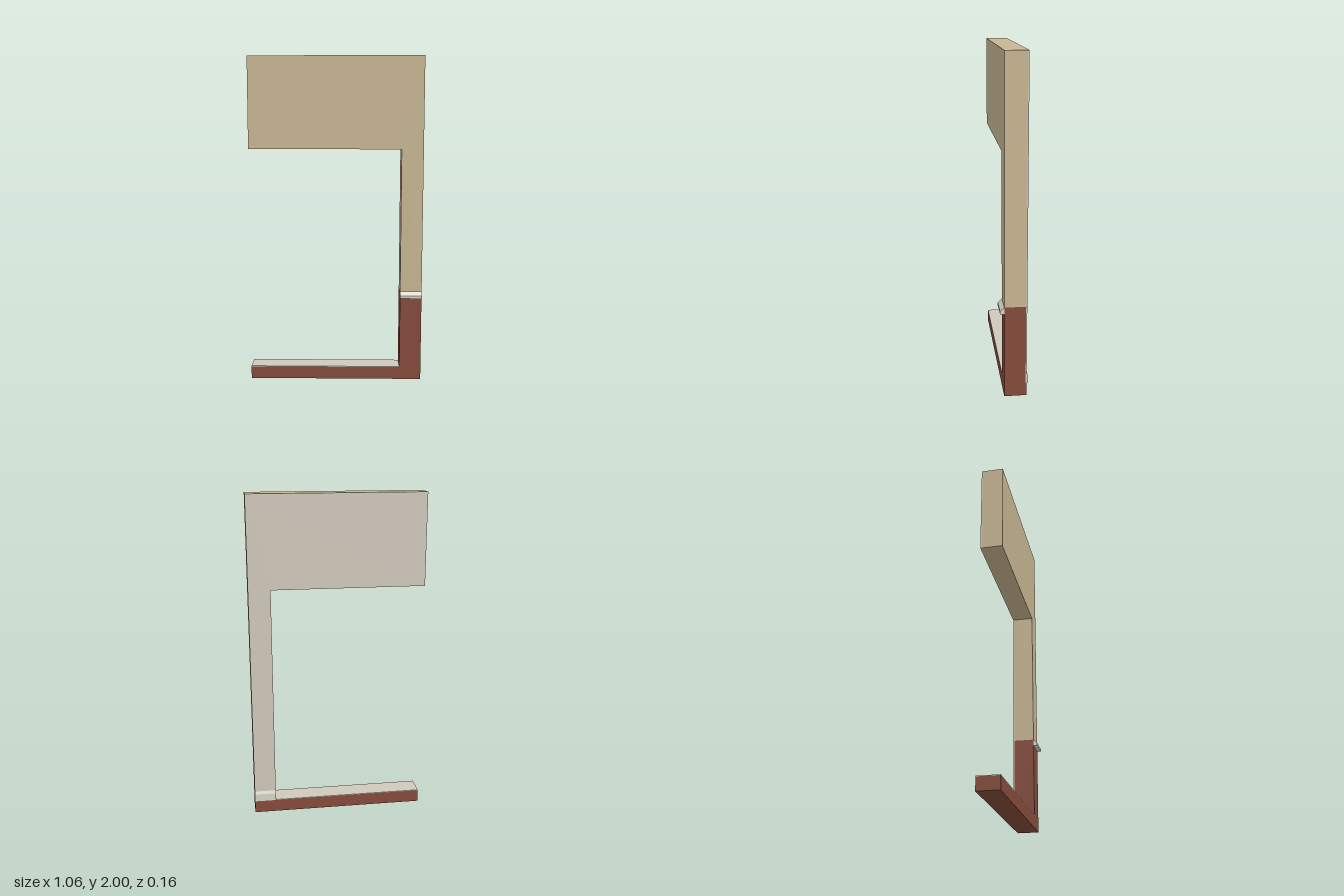
import * as THREE from 'three';

const material = (name, color) => new THREE.MeshStandardMaterial({ name, color });

export function createModel() {
  const group = new THREE.Group();
  const siding = material('tan siding', 0xc8b692);
  const brick = material('red brick', 0x854b3b);
  const plaster = material('off-white plaster', 0xcfc8bb);
  const trim = material('pale trim', 0xd8d5c8);

  const LEFT = 0.532, RIGHT = -0.532, JAMB = 0.399;   // wall ends and inner edge of the post
  const FRONT = 0.057, CORE = -0.069, BACK = -0.075;  // wall depth layers
  const BASE = 0.08, BRICK = 0.565, HEAD = 1.443, TOP = 2;

  const add = (name, geometry, mat) => {
    const mesh = new THREE.Mesh(geometry, mat);
    mesh.name = name;
    group.add(mesh);
  };
  const box = (name, mat, x0, x1, y0, y1, z0, z1) => add(name,
    new THREE.BoxGeometry(x1 - x0, y1 - y0, z1 - z0)
      .translate((x0 + x1) / 2, (y0 + y1) / 2, (z0 + z1) / 2), mat);

  // Upside-down L outline of the wall above a given height, extruded in z
  const wall = (name, mat, bottom, z0, z1) => {
    const outline = [[JAMB, bottom], [LEFT, bottom], [LEFT, TOP], [RIGHT, TOP], [RIGHT, HEAD], [JAMB, HEAD]];
    const shape = new THREE.Shape(outline.map(([x, y]) => new THREE.Vector2(x, y)));
    add(name, new THREE.ExtrudeGeometry(shape, { depth: z1 - z0, bevelEnabled: false }).translate(0, 0, z0), mat);
  };

  // Moulding profile given as [z, y], run across the width of the post
  const moulding = (name, profile) => {
    const shape = new THREE.Shape(profile.map(([z, y]) => new THREE.Vector2(-z, y)));
    const geometry = new THREE.ExtrudeGeometry(shape, { depth: LEFT - JAMB, bevelEnabled: false });
    add(name, geometry.rotateY(Math.PI / 2).translate(JAMB, 0, 0), trim);
  };

  // Sided wall with its plastered inner face
  wall('sidedWall', siding, BRICK, CORE, FRONT);
  wall('innerPlaster', plaster, BASE, BACK, CORE);

  // Brick wainscot on the post and the low brick base
  box('brickPost', brick, JAMB, LEFT, BASE, BRICK, CORE, FRONT);
  box('brickBase', brick, RIGHT, LEFT, 0, BASE - 0.004, BACK, FRONT);
  box('baseCap', plaster, RIGHT, JAMB, BASE - 0.004, BASE, BACK, FRONT);
  box('postFoot', brick, JAMB, LEFT, BASE - 0.004, BASE, BACK, FRONT);

  // Sloped ledge above the brick, and the skirting board behind
  moulding('brickLedge', [[FRONT, 0.524], [0.081, 0.524], [0.081, 0.541], [FRONT, BRICK]]);
  moulding('skirtingBoard', [[BACK, BASE], [BACK, 0.146], [-0.082, 0.128], [-0.082, BASE]]);

  return group;
}
